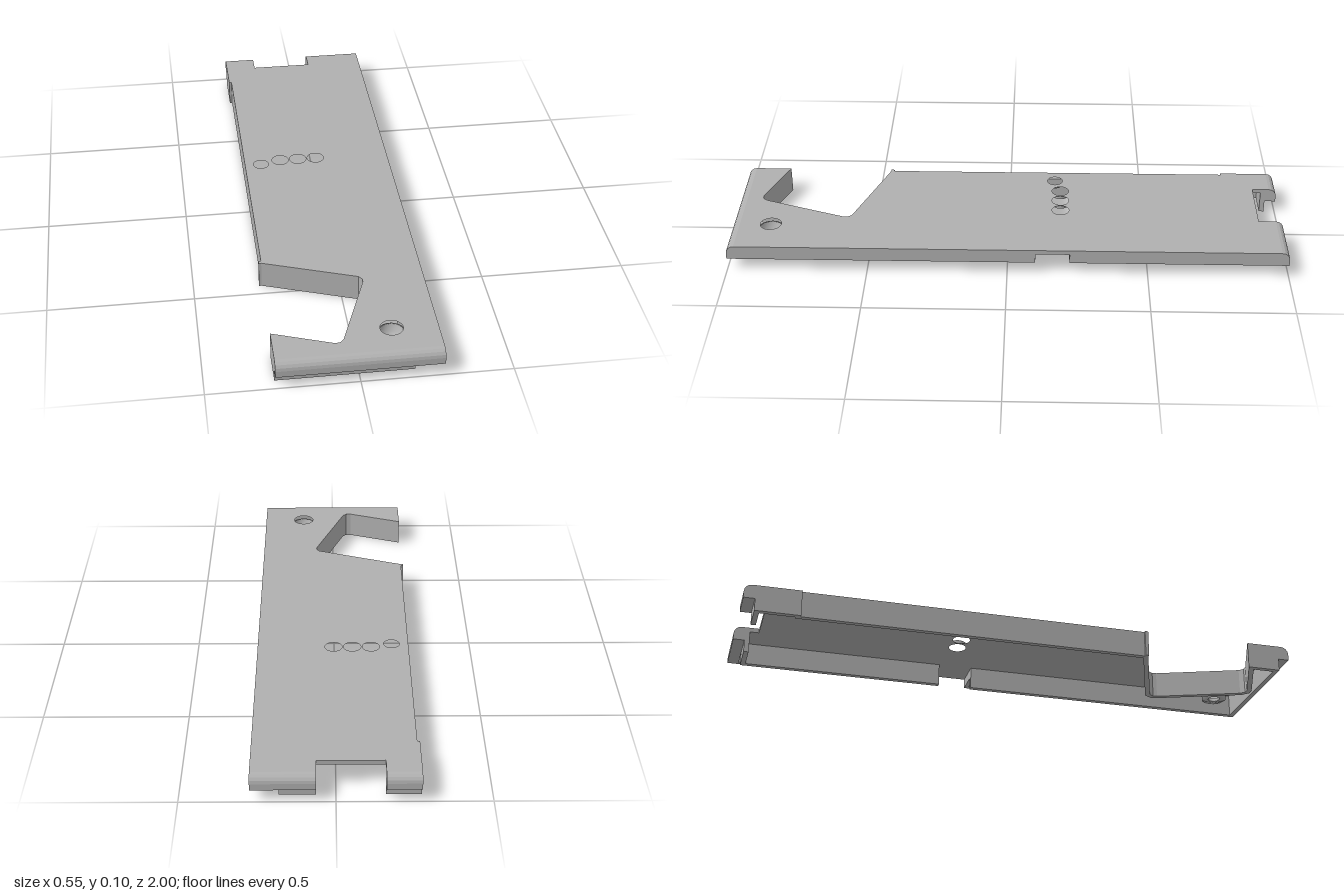
import * as THREE from 'three';

const TOP = 0.096, CEIL = 0.08, LIP = 0.045; // plate top, plate underside, bottom of the overhang
const X0 = -0.274, X1 = 0.274, RIM = 0.183, END = 0.96;

export function createModel() {
  const group = new THREE.Group();
  const grey = new THREE.MeshStandardMaterial({ color: 0xb0b0b0 });
  grey.name = 'grey';

  const add = (name, geometry) => {
    const mesh = new THREE.Mesh(geometry, grey);
    mesh.name = name;
    group.add(mesh);
    return mesh;
  };
  const box = (name, xa, xb, ya, yb, za, zb) =>
    add(name, new THREE.BoxGeometry(xb - xa, yb - ya, zb - za))
      .position.set((xa + xb) / 2, (ya + yb) / 2, (za + zb) / 2);
  const outline = (pts) => new THREE.Shape(pts.map(([x, z]) => new THREE.Vector2(x, -z)));
  // Extrudes an x/z outline upwards from ya to yb
  const slab = (name, shape, ya, yb) => {
    const g = new THREE.ExtrudeGeometry(shape, { depth: yb - ya, bevelEnabled: false, curveSegments: 16 });
    g.rotateX(-Math.PI / 2);
    g.translate(0, ya, 0);
    add(name, g);
  };

  // Edge of the angled side opening, from the front hook round to the long side
  const opening = [
    [X0, 0.84], [-0.075, 0.914], [-0.057, 0.914], [-0.043, 0.9],
    [0.064, 0.605], [0.066, 0.59], [0.055, 0.573], [-0.265, 0.455],
  ];

  // Top plate with back notch, side opening and holes
  const plate = outline([
    [X1, -END], [X1, END], [X0, END], ...opening,
    [-0.265, -0.8], [X0, -0.8], [X0, -END], [-0.16, -END], [-0.16, -0.91], [0.063, -0.91], [0.063, -END],
  ]);
  const holes = [[-0.205, -0.17, 0.028], [-0.131, -0.19, 0.031], [-0.064, -0.19, 0.031],
    [0.003, -0.19, 0.031], [0.12, 0.86, 0.038]];
  for (const [x, z, r] of holes) {
    plate.holes.push(new THREE.Path().absarc(x, -z, r, 0, Math.PI * 2, true));
  }
  slab('topPlate', plate, CEIL, TOP);

  // Rounded overhanging end strips
  const endStrip = (name, xa, xb, side) => {
    const r = 0.028, s = new THREE.Shape();
    s.moveTo(side * END, LIP);
    s.lineTo(side, LIP);
    for (let i = 0; i <= 4; i++) {
      const a = (i / 4) * Math.PI / 2;
      s.lineTo(side * (1 - r + r * Math.cos(a)), TOP - r + r * Math.sin(a));
    }
    s.lineTo(side * END, TOP);
    const g = new THREE.ExtrudeGeometry(s, { depth: xb - xa, bevelEnabled: false });
    g.rotateY(-Math.PI / 2);
    g.translate(xb, 0, 0);
    add(name, g);
  };
  endStrip('frontEdge', X0, X1, 1);
  endStrip('backEdgeRight', X0, -0.16, -1);
  endStrip('backEdgeLeft', 0.063, X1, -1);

  // Standing rim: a path thickened towards the inside with mitred corners
  const rim = (name, path, t = 0.018) => {
    const p = path.map(([x, z]) => new THREE.Vector2(x, z));
    const normals = p.slice(1).map((q, i) => {
      const d = q.clone().sub(p[i]).normalize();
      return new THREE.Vector2(-d.y, d.x);
    });
    const inner = p.map((q, i) => {
      const a = normals[Math.max(i - 1, 0)], b = normals[Math.min(i, normals.length - 1)];
      const m = a.clone().add(b);
      return q.clone().addScaledVector(m, t / (1 + a.dot(b)));
    });
    slab(name, outline([...p, ...inner.reverse()].map((v) => [v.x, v.y])), 0, CEIL);
  };
  rim('mainRim', [
    [RIM, -0.1], [RIM, END], [X0, END], ...opening,
    [-0.265, -0.8], [X0, -0.8], [X0, -END], [-0.16, -END],
  ]);
  rim('backRim', [[0.063, -END], [RIM, -END], [RIM, -0.222]]);

  // Small ridge where the side opening meets the long side
  box('openingRidge', X0, -0.262, 0, TOP, 0.443, 0.455);

  // Outer lip under the left edge, broken by a cable gap with two cheeks
  box('leftLipBack', 0.262, X1, LIP, CEIL, -END, -0.222);
  box('leftLipFront', 0.262, X1, LIP, CEIL, -0.1, END);
  box('gapCheekBack', RIM, 0.262, LIP, CEIL, -0.237, -0.222);
  box('gapCheekFront', RIM, 0.262, LIP, CEIL, -0.1, -0.085);

  // Counterbored screw seat
  const seat = [[0.022, 0.04], [0.046, 0.04], [0.046, CEIL], [0.038, CEIL], [0.038, 0.052], [0.022, 0.052], [0.022, 0.04]];
  const seatGeometry = new THREE.LatheGeometry(seat.map(([r, y]) => new THREE.Vector2(r, y)), 32);
  add('screwSeat', seatGeometry).position.set(0.12, 0, 0.86);

  return group;
}
